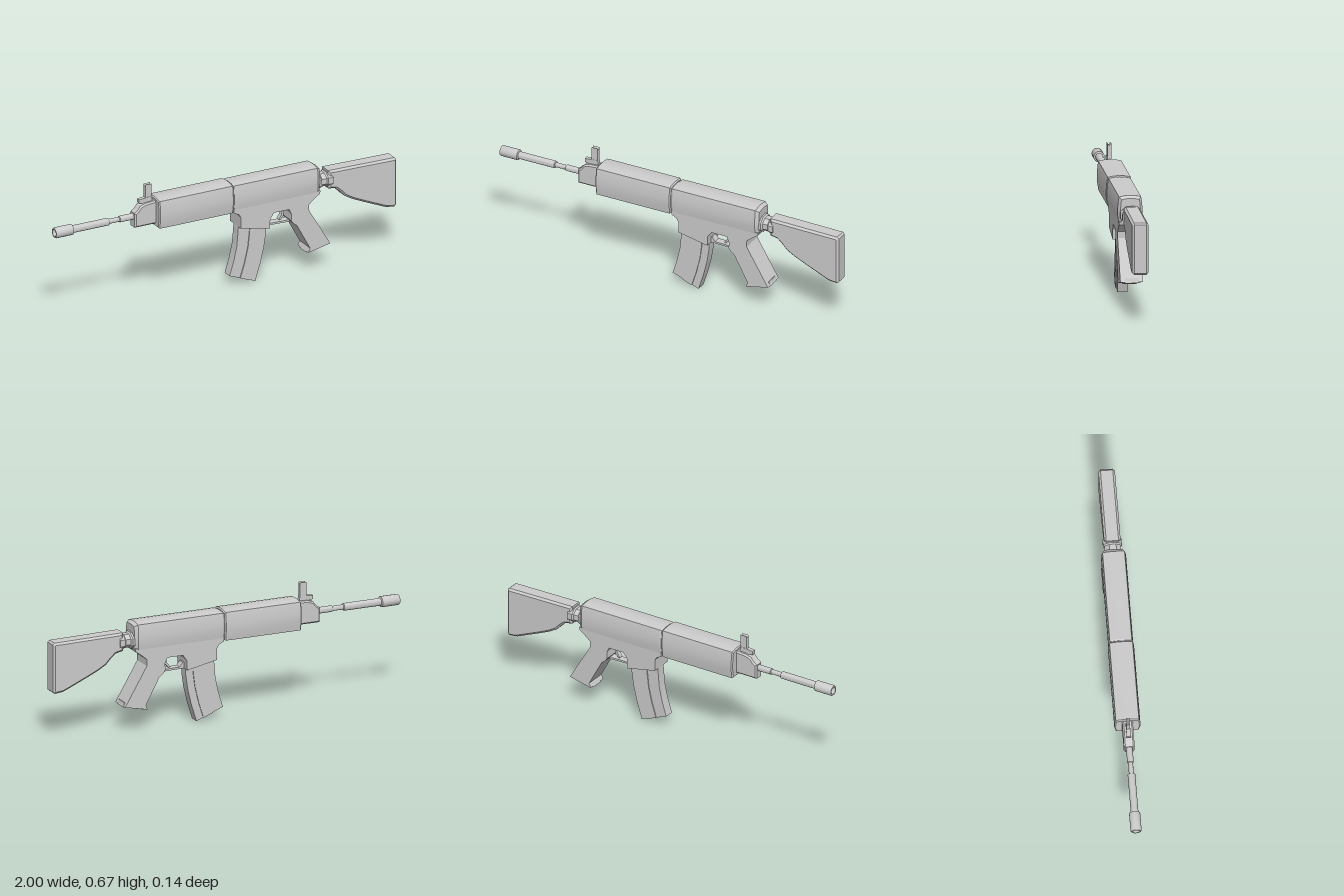
import * as THREE from 'three';
import { toCreasedNormals } from 'three/addons/utils/BufferGeometryUtils.js';

const material = new THREE.MeshStandardMaterial({ color: 0xcccccc, side: THREE.DoubleSide });

function addPart(parent, name, geometry, crease = 0.5) {
  const mesh = new THREE.Mesh(toCreasedNormals(geometry, crease), material);
  mesh.name = name;
  parent.add(mesh);
  return mesh;
}

// Side outline (x, y) extruded symmetrically about z = 0, keeping its outer size when bevelled
function slab(points, halfWidth, bevel = 0) {
  const shape = new THREE.Shape(points.map(([x, y]) => new THREE.Vector2(x, y)));
  const depth = 2 * (halfWidth - bevel);
  const geometry = new THREE.ExtrudeGeometry(shape, {
    depth, bevelEnabled: bevel > 0, bevelSize: bevel, bevelThickness: bevel,
    bevelOffset: -bevel, bevelSegments: 1,
  });
  return geometry.translate(0, 0, -depth / 2);
}

// Half section (z, y) mirrored and lofted along x; each station is [x, inset]
function loft(half, stations) {
  const mirrored = half.filter(([z]) => z > 0).reverse().map(([z, y]) => [-z, y]);
  const ring = [...half, ...mirrored];
  const ys = ring.map((p) => p[1]);
  const midY = (Math.max(...ys) + Math.min(...ys)) / 2;
  const halfH = (Math.max(...ys) - Math.min(...ys)) / 2;
  const halfW = Math.max(...half.map((p) => p[0]));
  const rings = stations.map(([x, d]) => ring.map(([z, y]) =>
    [x, midY + (y - midY) * (1 - d / halfH), z * (1 - d / halfW)]));
  const pos = [];
  const tri = (...corners) => corners.forEach((c) => pos.push(...c));
  const n = ring.length;
  const first = rings[0], last = rings[rings.length - 1];
  const startMid = [stations[0][0], midY, 0];
  const endMid = [stations[stations.length - 1][0], midY, 0];
  for (let i = 0; i < n; i++) {
    const j = (i + 1) % n;
    for (let k = 0; k + 1 < rings.length; k++) {
      const a = rings[k], b = rings[k + 1];
      tri(a[i], a[j], b[i]);
      tri(a[j], b[j], b[i]);
    }
    tri(startMid, first[j], first[i]);
    tri(endMid, last[i], last[j]);
  }
  const geometry = new THREE.BufferGeometry();
  geometry.setAttribute('position', new THREE.Float32BufferAttribute(pos, 3));
  return geometry;
}

// Lathe around the x axis; profile runs from +x to -x as [x, radius]
function turned(profile, segments) {
  const points = profile.map(([x, r]) => new THREE.Vector2(r, -x));
  return new THREE.LatheGeometry(points, segments).rotateZ(Math.PI / 2);
}

export function createModel() {
  const group = new THREE.Group();
  group.name = 'rifle';

  // Upper housing and handguard share a bulging section
  const section = [[0, 0.589], [0.03, 0.587], [0.06, 0.581], [0.064, 0.56],
    [0.068, 0.515], [0.068, 0.48], [0.06, 0.428]];
  addPart(group, 'upperReceiver', loft(section,
    [[0.03, 0.007], [0.037, 0.003], [0.522, 0.003], [0.54, 0.016]]), 0.35);
  addPart(group, 'handguard', loft(section,
    [[-0.415, 0.006], [-0.409, 0], [0.02, 0], [0.026, 0.006]]), 0.35);
  addPart(group, 'joint', loft(section, [[0.01, 0.01], [0.05, 0.01]]), 0.35);

  // Lower housing with magazine well and pistol grip
  addPart(group, 'lowerReceiverAndGrip', slab([
    [0.03, 0.45], [0.03, 0.425], [0.06, 0.41], [0.07, 0.39], [0.07, 0.33], [0.24, 0.295],
    [0.243, 0.35], [0.265, 0.38], [0.355, 0.38], [0.368, 0.35], [0.366, 0.315],
    [0.378, 0.297], [0.4, 0.28], [0.478, 0.136], [0.467, 0.112], [0.597, 0.14],
    [0.472, 0.35], [0.472, 0.385], [0.515, 0.42], [0.535, 0.432], [0.539, 0.45],
  ], 0.0592), 0.4);
  // Slightly ridged underside of the grip
  addPart(group, 'gripBase', slab([
    [0.478, 0.136], [0.467, 0.105], [0.597, 0.135], [0.59, 0.16],
  ], 0.035));

  // Trigger and guard
  addPart(group, 'triggerGuard', slab([
    [0.235, 0.33], [0.235, 0.297], [0.375, 0.293], [0.385, 0.31],
    [0.36, 0.304], [0.265, 0.306], [0.248, 0.33],
  ], 0.02));
  addPart(group, 'trigger', slab([
    [0.325, 0.39], [0.345, 0.39], [0.351, 0.36], [0.345, 0.33], [0.325, 0.308],
    [0.317, 0.313], [0.333, 0.335], [0.338, 0.358],
  ], 0.012));

  // Curved magazine: rows of [front x, front y, rear x, rear y]
  const rows = [[0.075, 0.37, 0.235, 0.34], [0.07, 0.3, 0.234, 0.26],
    [0.063, 0.22, 0.222, 0.18], [0.045, 0.14, 0.2, 0.09], [0.02, 0.06, 0.172, 0.002]];
  const band = (from, to) => {
    const at = ([x0, y0, x1, y1], t) => [x0 + (x1 - x0) * t, y0 + (y1 - y0) * t];
    return [...rows.map((r) => at(r, from)), ...rows.map((r) => at(r, to)).reverse()];
  };
  const magazine = new THREE.Group();
  magazine.name = 'magazine';
  addPart(magazine, 'magazineBody', slab(band(0, 1), 0.027));
  addPart(magazine, 'magazineRib', slab(band(0.4, 0.75), 0.032));
  group.add(magazine);

  // Shoulder stock and its stepped collar
  addPart(group, 'stock', slab([
    [0.598, 0.54], [0.598, 0.44], [0.64, 0.432], [0.665, 0.41], [0.695, 0.378],
    [0.74, 0.352], [0.81, 0.32], [0.94, 0.264], [0.988, 0.258], [1, 0.268],
    [1, 0.525], [0.99, 0.534],
  ], 0.043, 0.011), 0.3);
  const collar = addPart(group, 'stockCollar', turned([
    [0.62, 0], [0.62, 0.045], [0.592, 0.045], [0.585, 0.039], [0.557, 0.039],
    [0.55, 0.048], [0.53, 0.048], [0.53, 0],
  ], 8).rotateX(Math.PI / 8), 0.3);
  collar.position.y = 0.487;
  collar.scale.z = 1.2;

  // Stepped barrel with hollow muzzle
  const barrel = addPart(group, 'barrel', turned([
    [-0.5, 0], [-0.5, 0.017], [-0.617, 0.017], [-0.62, 0.013], [-0.68, 0.013],
    [-0.683, 0.02], [-0.895, 0.02], [-0.898, 0.029], [-0.994, 0.029], [-1, 0.026],
    [-1, 0.019], [-0.93, 0.019], [-0.93, 0],
  ], 16), 0.6);
  barrel.position.y = 0.502;

  // Front sight block, foot and notched post
  addPart(group, 'frontSightBlock', slab([
    [-0.4, 0.445], [-0.4, 0.575], [-0.47, 0.57], [-0.502, 0.56], [-0.522, 0.536],
    [-0.538, 0.525], [-0.538, 0.445],
  ], 0.028, 0.008), 0.3);
  addPart(group, 'sightFoot', slab([
    [-0.505, 0.572], [-0.425, 0.56], [-0.43, 0.6], [-0.465, 0.596], [-0.505, 0.592],
  ], 0.011));
  const notch = new THREE.Shape([[-0.01, 0.58], [0.01, 0.58], [0.01, 0.669], [0, 0.656],
    [-0.01, 0.669]].map(([z, y]) => new THREE.Vector2(z, y)));
  addPart(group, 'sightPost', new THREE.ExtrudeGeometry(notch,
    { depth: 0.037, bevelEnabled: false }).rotateY(Math.PI / 2).translate(-0.467, 0, 0));

  return group;
}
